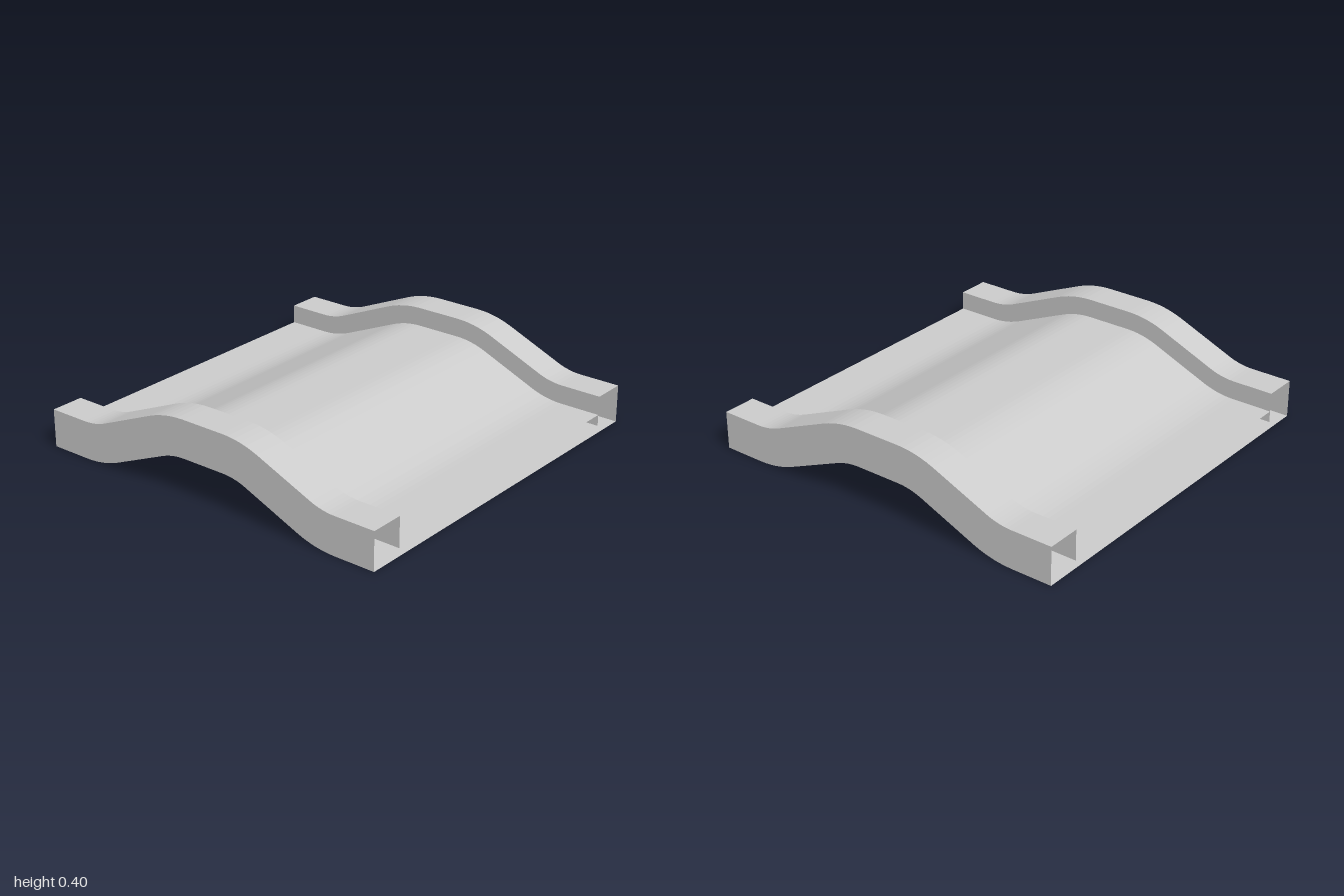
import * as THREE from 'three';

const ANGLE = Math.PI / 8;   // slope of the ramps
const R_HUMP = 0.36, R_VALLEY = 0.56, Z_HUMP = 0.12, Z_VALLEY = 0.78, RISE = 0.2;
const STEPS = 6;

// Underside line from z = 1 to z = -1: { z, y, a }, a being the tilt of its normal
function humpPath() {
  const half = [{ z: 1, y: 0, a: 0 }];
  for (let i = 0; i <= STEPS; i++) {
    const a = ANGLE * i / STEPS;
    half.push({ z: Z_VALLEY - R_VALLEY * Math.sin(a), y: R_VALLEY * (1 - Math.cos(a)), a });
  }
  for (let i = STEPS; i >= 0; i--) {
    const a = ANGLE * i / STEPS;
    half.push({ z: Z_HUMP + R_HUMP * Math.sin(a), y: RISE - R_HUMP * (1 - Math.cos(a)), a });
  }
  return half.concat(half.map(p => ({ z: -p.z, y: p.y, a: -p.a })).reverse());
}

// Sweeps a cross-section of [x, height] points along the path, leaving the ends open
function sweep(name, section, path) {
  const pos = [], index = [], n = section.length;
  for (const p of path) {
    for (const [x, h] of section) {
      pos.push(x, p.y + h * Math.cos(p.a), p.z + h * Math.sin(p.a));
    }
  }
  for (let i = 0; i < path.length - 1; i++) {
    for (let j = 0; j < n - 1; j++) {
      const a = i * n + j, b = a + 1, c = a + n, d = c + 1;
      index.push(a, c, b, b, c, d);
    }
  }
  const indexed = new THREE.BufferGeometry();
  indexed.setAttribute('position', new THREE.Float32BufferAttribute(pos, 3));
  indexed.setIndex(index);
  const geometry = indexed.toNonIndexed();
  geometry.computeVertexNormals();
  const mesh = new THREE.Mesh(geometry, new THREE.MeshStandardMaterial({
    color: 0xcccccc, flatShading: true, side: THREE.DoubleSide,
  }));
  mesh.name = name;
  return mesh;
}

export function createModel() {
  const group = new THREE.Group();
  group.name = 'humpTrack';
  const path = humpPath();
  const inner = 0.82, wall = 0.2, floor = 0.04, deck = 0.1;

  // Hollow channel: underside, two side rails and the inner floor
  group.add(sweep('railChannel', [
    [-1, 0], [1, 0], [1, wall], [inner, wall], [inner, floor],
    [-inner, floor], [-inner, wall], [-1, wall], [-1, 0],
  ], path));

  // Road surface between the rails
  group.add(sweep('roadDeck', [[inner, deck], [-inner, deck]], path));
  return group;
}
